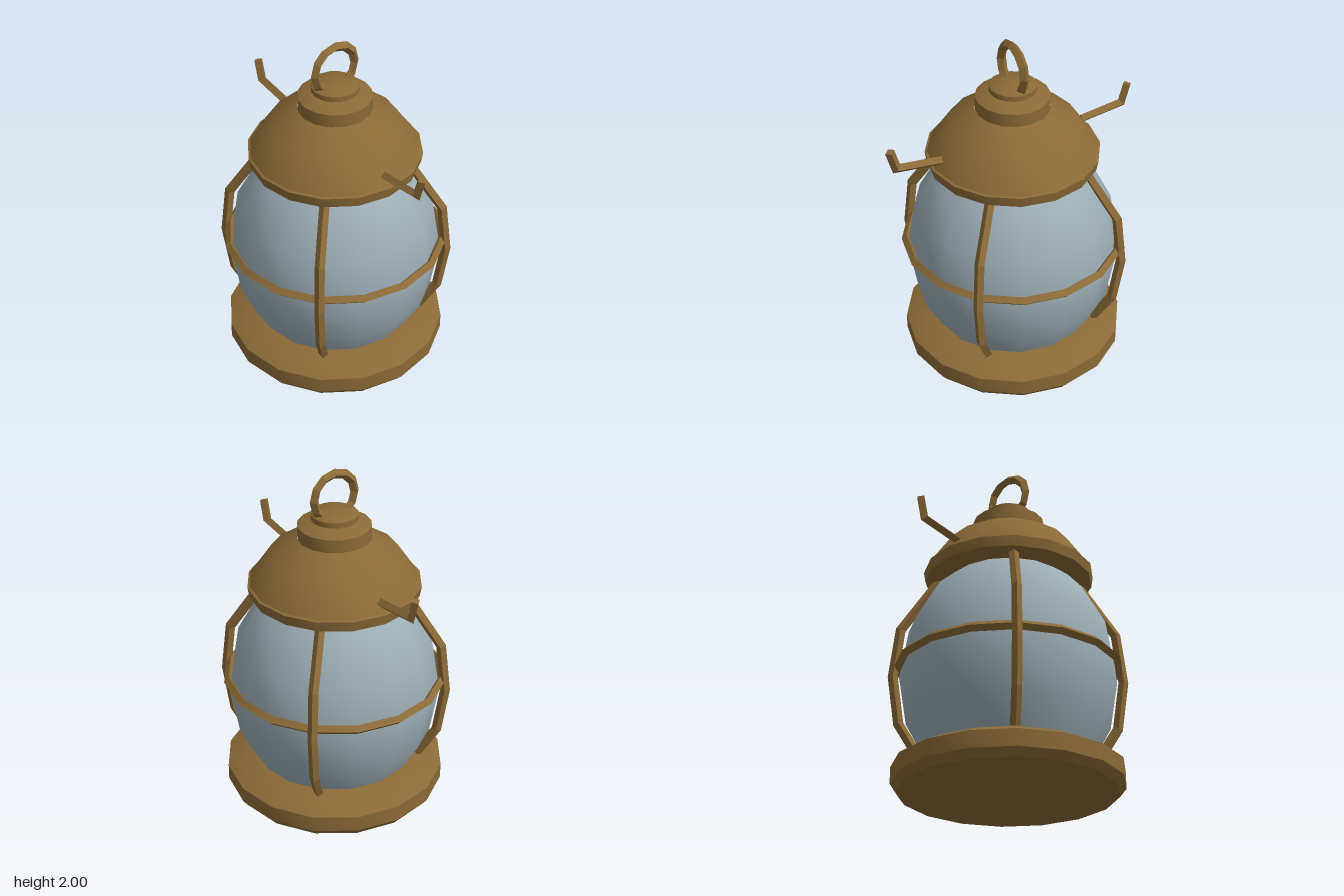
import * as THREE from 'three';
import { toCreasedNormals } from 'three/addons/utils/BufferGeometryUtils.js';

const SIDES = 16;

// Turned part from [radius, height] pairs listed bottom to top
function turned(profile, crease = 0.6) {
  const pts = profile.map(([r, y]) => new THREE.Vector2(r, y));
  return toCreasedNormals(new THREE.LatheGeometry(pts, SIDES), crease);
}

// Diamond-section bar with mitred corners along a path of [x, y] points
function bar(path, r) {
  const p = path.map(([x, y]) => new THREE.Vector3(x, y, 0));
  const z = new THREE.Vector3(0, 0, r);
  const rings = p.map((c, i) => {
    const before = p[Math.max(i - 1, 0)], after = p[Math.min(i + 1, p.length - 1)];
    const t1 = (i > 0 ? c.clone().sub(before) : after.clone().sub(c)).normalize();
    const t2 = (i < p.length - 1 ? after.clone().sub(c) : t1.clone()).normalize();
    const t = t1.clone().add(t2).normalize();
    const n = new THREE.Vector3(-t.y, t.x, 0).multiplyScalar(r / t.dot(t1));
    return [c.clone().add(n), c.clone().add(z), c.clone().sub(n), c.clone().sub(z)];
  });
  const tris = [];
  for (let i = 0; i < rings.length - 1; i++) {
    for (let k = 0; k < 4; k++) {
      const a = rings[i][k], b = rings[i][(k + 1) % 4];
      const c = rings[i + 1][k], d = rings[i + 1][(k + 1) % 4];
      tris.push(a, b, c, b, d, c);
    }
  }
  const s = rings[0], e = rings[rings.length - 1];
  tris.push(s[0], s[2], s[1], s[0], s[3], s[2], e[0], e[1], e[2], e[0], e[2], e[3]);
  const g = new THREE.BufferGeometry().setFromPoints(tris);
  g.computeVertexNormals();
  return g;
}

export function createModel() {
  const model = new THREE.Group();
  model.name = 'lantern';
  const brass = new THREE.MeshStandardMaterial({ color: 0x8b6a37 });
  brass.name = 'brass';
  const glass = new THREE.MeshStandardMaterial({ color: 0x9cadb5 });
  glass.name = 'glass';

  const add = (name, geometry, material = brass) => {
    const mesh = new THREE.Mesh(geometry, material);
    mesh.name = name;
    model.add(mesh);
    return mesh;
  };

  // Base dish
  add('base', turned([[0, 0], [0.61, 0], [0.645, 0.045], [0.645, 0.14],
    [0.545, 0.19], [0.42, 0.225], [0, 0.225]]));

  // Egg-shaped glass globe, its ends hidden in base and cap
  const globe = [];
  for (let i = -2; i <= 3; i++) {
    const a = i * Math.PI / 8;
    globe.push([0.615 * Math.cos(a), 0.67 + 0.74 * Math.sin(a)]);
  }
  add('globe', turned(globe, 1.2), glass);

  // Domed cap with stepped collar and knob
  add('cap', turned([[0, 1.27], [0.483, 1.27], [0.493, 1.33], [0.48, 1.335],
    [0.36, 1.51], [0.21, 1.6]]));
  add('collar', turned([[0.208, 1.58], [0.208, 1.675], [0.135, 1.71], [0, 1.71]]));
  add('knob', turned([[0.133, 1.69], [0.133, 1.74], [0.115, 1.752], [0, 1.76]]));

  // Carrying ring on top
  const handle = add('handle', toCreasedNormals(new THREE.TorusGeometry(0.133, 0.028, 4, 12), 0.35));
  handle.rotation.y = Math.PI / 2;
  handle.position.y = 1.84;

  // Guard cage: one hoop and four ribs
  const hoop = add('guardHoop', toCreasedNormals(new THREE.TorusGeometry(0.62, 0.028, 4, SIDES), 0.35));
  hoop.rotation.x = Math.PI / 2;
  hoop.position.y = 0.727;

  const rib = bar([[0.5, 0.21], [0.61, 0.39], [0.65, 0.67], [0.615, 0.96],
    [0.42, 1.25], [0.37, 1.31]], 0.028);
  for (let i = 0; i < 4; i++) {
    add('guardRib', rib).rotation.y = Math.PI / 4 + i * Math.PI / 2;
  }

  // Upturned hooks on both sides of the cap
  const hook = bar([[0.44, 1.383], [0.705, 1.415], [0.738, 1.532]], 0.027);
  add('leftHook', hook);
  add('rightHook', hook).rotation.y = Math.PI;

  return model;
}
